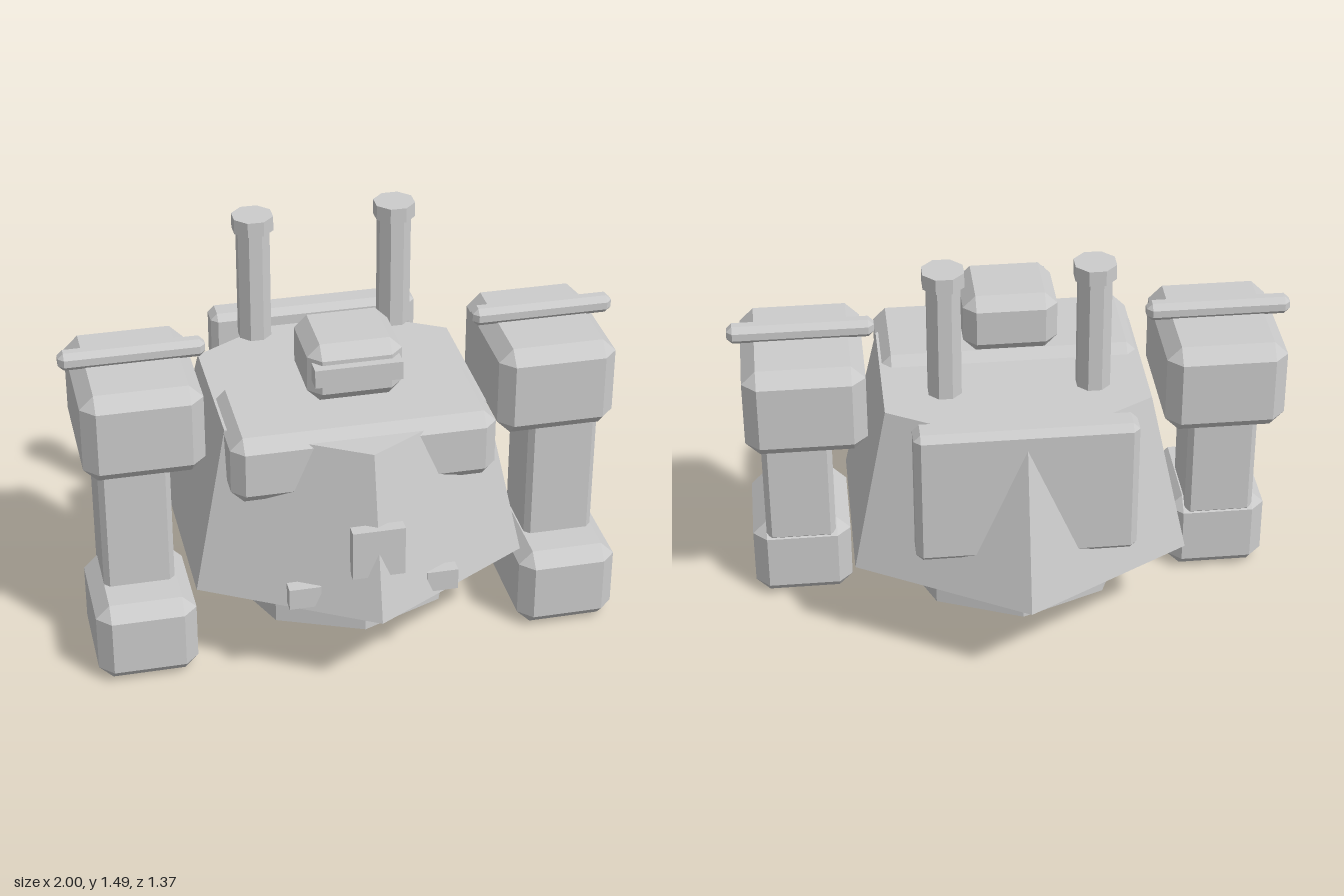
import * as THREE from 'three';
import { ConvexGeometry } from 'three/addons/geometries/ConvexGeometry.js';

const material = new THREE.MeshStandardMaterial({ color: 0xcccccc, flatShading: true });

// Box with every edge chamfered by b, given as [min, max] per axis
function chamferBox(x, y, z, b) {
  const c = [x, y, z].map((r) => (r[0] + r[1]) / 2);
  const h = [x, y, z].map((r) => (r[1] - r[0]) / 2);
  const points = [];
  for (const sx of [-1, 1]) for (const sy of [-1, 1]) for (const sz of [-1, 1]) {
    for (let axis = 0; axis < 3; axis++) {
      const p = [sx, sy, sz].map((s, i) => c[i] + s * (h[i] - (i === axis ? 0 : b)));
      points.push(new THREE.Vector3(...p));
    }
  }
  return new ConvexGeometry(points);
}

function plainBox(x, y, z) {
  const g = new THREE.BoxGeometry(x[1] - x[0], y[1] - y[0], z[1] - z[0]);
  return g.translate((x[0] + x[1]) / 2, (y[0] + y[1]) / 2, (z[0] + z[1]) / 2);
}

// Upright prism or frustum between two heights
function prism(topRadius, bottomRadius, y0, y1, sides, turn = 0) {
  const g = new THREE.CylinderGeometry(topRadius, bottomRadius, y1 - y0, sides);
  return g.rotateY(turn).translate(0, (y0 + y1) / 2, 0);
}

export function createModel() {
  const model = new THREE.Group();
  model.name = 'robot';

  const add = (parent, name, geometry) => {
    const mesh = new THREE.Mesh(geometry, material);
    mesh.name = name;
    parent.add(mesh);
    return mesh;
  };

  // Body
  add(model, 'torso', prism(0.54, 0.687, 0.567, 1.167, 6));
  add(model, 'pelvis', prism(0.43, 0.43, 0.36, 0.567, 8));
  add(model, 'chest', chamferBox([-0.47, 0.47], [0.945, 1.2], [0.01, 0.435], 0.045));
  add(model, 'backPlate', chamferBox([-0.387, 0.387], [0.71, 1.228], [-0.543, -0.427], 0.024));
  add(model, 'chestPlate', plainBox([-0.093, 0.093], [0.725, 0.912], [0.58, 0.625]));

  // Head
  add(model, 'head', chamferBox([-0.168, 0.168], [1.225, 1.445], [-0.026, 0.282], 0.045));
  add(model, 'visor', plainBox([-0.155, 0.155], [1.317, 1.385], [0.25, 0.313]));

  // Paired parts
  for (const s of [1, -1]) {
    const side = s > 0 ? 'left' : 'right';
    const span = (a, b) => (s > 0 ? [a, b] : [-b, -a]);

    add(model, side + 'WaistLight', plainBox(span(0.19, 0.303), [0.585, 0.665], [0.51, 0.56]));

    const cannon = new THREE.Group();
    cannon.name = side + 'Cannon';
    cannon.position.set(s * 0.258, 0, -0.26);
    add(cannon, 'barrel', prism(0.062, 0.062, 1.238, 1.66, 8, Math.PI / 8));
    add(cannon, 'muzzle', prism(0.076, 0.076, 1.66, 1.715, 8, Math.PI / 8));
    model.add(cannon);

    const arm = new THREE.Group();
    arm.name = side + 'Arm';
    add(arm, 'shoulder', chamferBox(span(0.527, 0.956), [0.99, 1.33], [-0.266, 0.268], 0.05));
    add(arm, 'shoulderBar', chamferBox(span(0.484, 1.0), [1.325, 1.392], [-0.033, 0.035], 0.02));
    add(arm, 'forearm', chamferBox(span(0.652, 0.907), [0.48, 1.04], [-0.04, 0.22], 0.02));
    add(arm, 'fist', chamferBox(span(0.597, 0.957), [0.23, 0.54], [-0.04, 0.387], 0.05));
    model.add(arm);
  }

  return model;
}
